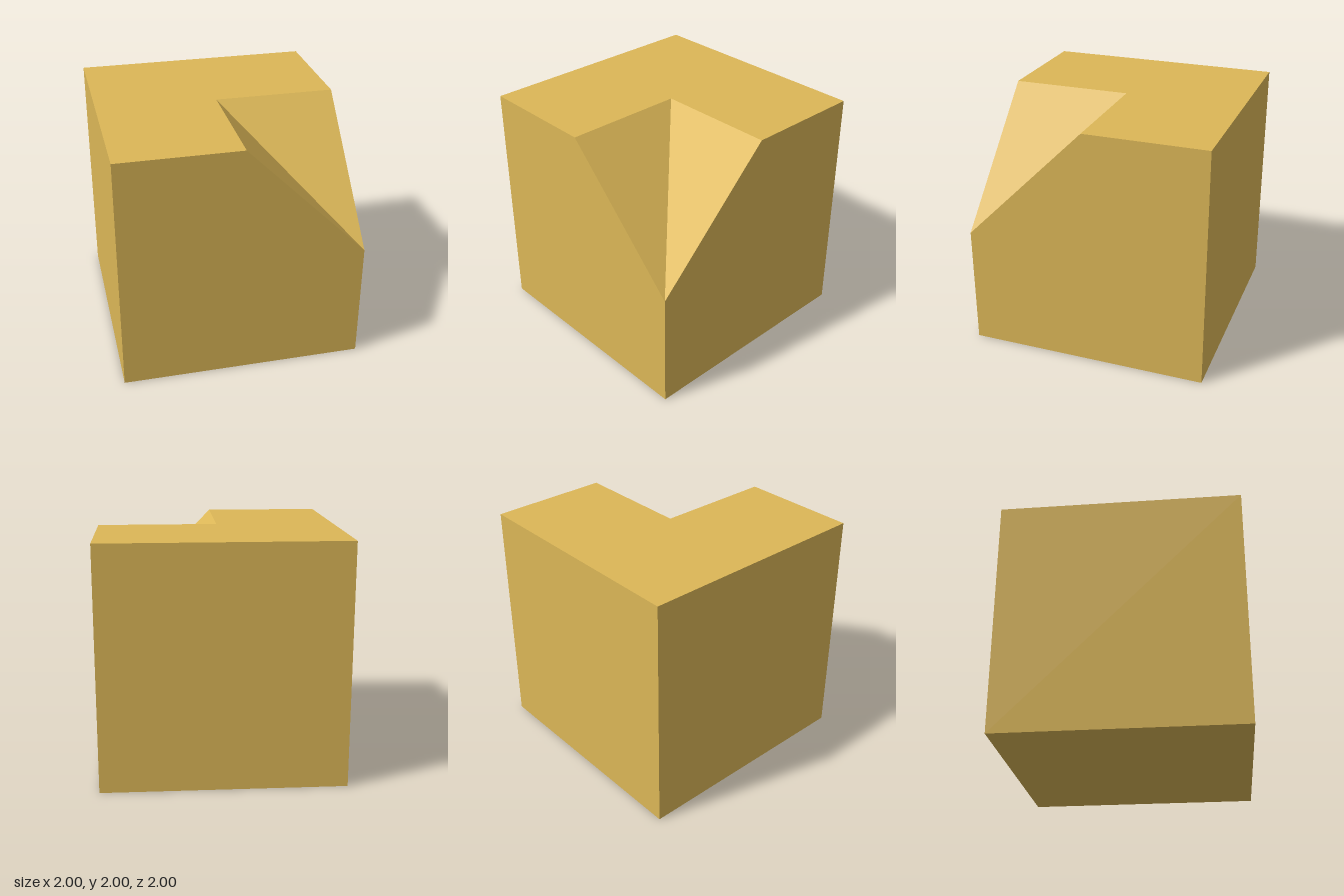
import * as THREE from 'three';

// Flat polygon as a triangle fan from its first corner (counter-clockwise from outside)
function polygon(name, corners, material) {
  const points = [];
  for (let i = 1; i < corners.length - 1; i++) {
    points.push(...corners[0], ...corners[i], ...corners[i + 1]);
  }
  const geometry = new THREE.BufferGeometry();
  geometry.setAttribute('position', new THREE.Float32BufferAttribute(points, 3));
  geometry.computeVertexNormals();
  const mesh = new THREE.Mesh(geometry, material);
  mesh.name = name;
  return mesh;
}

export function createModel() {
  const group = new THREE.Group();
  group.name = 'notchedCube';
  const gold = new THREE.MeshStandardMaterial({ color: 0xdcb757 });
  gold.name = 'gold';

  // Corners of the cube: left and right here mean -x and +x
  const baseFL = [-1, 0, 1], baseFR = [1, 0, 1], baseBL = [-1, 0, -1], baseBR = [1, 0, -1];
  const topFL = [-1, 2, 1], topBL = [-1, 2, -1], topBR = [1, 2, -1];

  // Corners of the cut
  const inner = [0, 2, 0], frontRim = [0, 2, 1], sideRim = [1, 2, 0], tip = [1, 1, 1];

  const faces = {
    bottom: [baseBL, baseBR, baseFR, baseFL],
    front: [baseFL, baseFR, tip, frontRim, topFL],
    side: [baseFR, baseBR, topBR, sideRim, tip],
    back: [baseBR, baseBL, topBL, topBR],
    oppositeSide: [baseBL, baseFL, topFL, topBL],
    top: [inner, sideRim, topBR, topBL, topFL, frontRim],
    notchSideSlope: [inner, frontRim, tip],
    notchFrontSlope: [inner, tip, sideRim],
  };
  for (const [name, corners] of Object.entries(faces)) group.add(polygon(name, corners, gold));

  return group;
}
